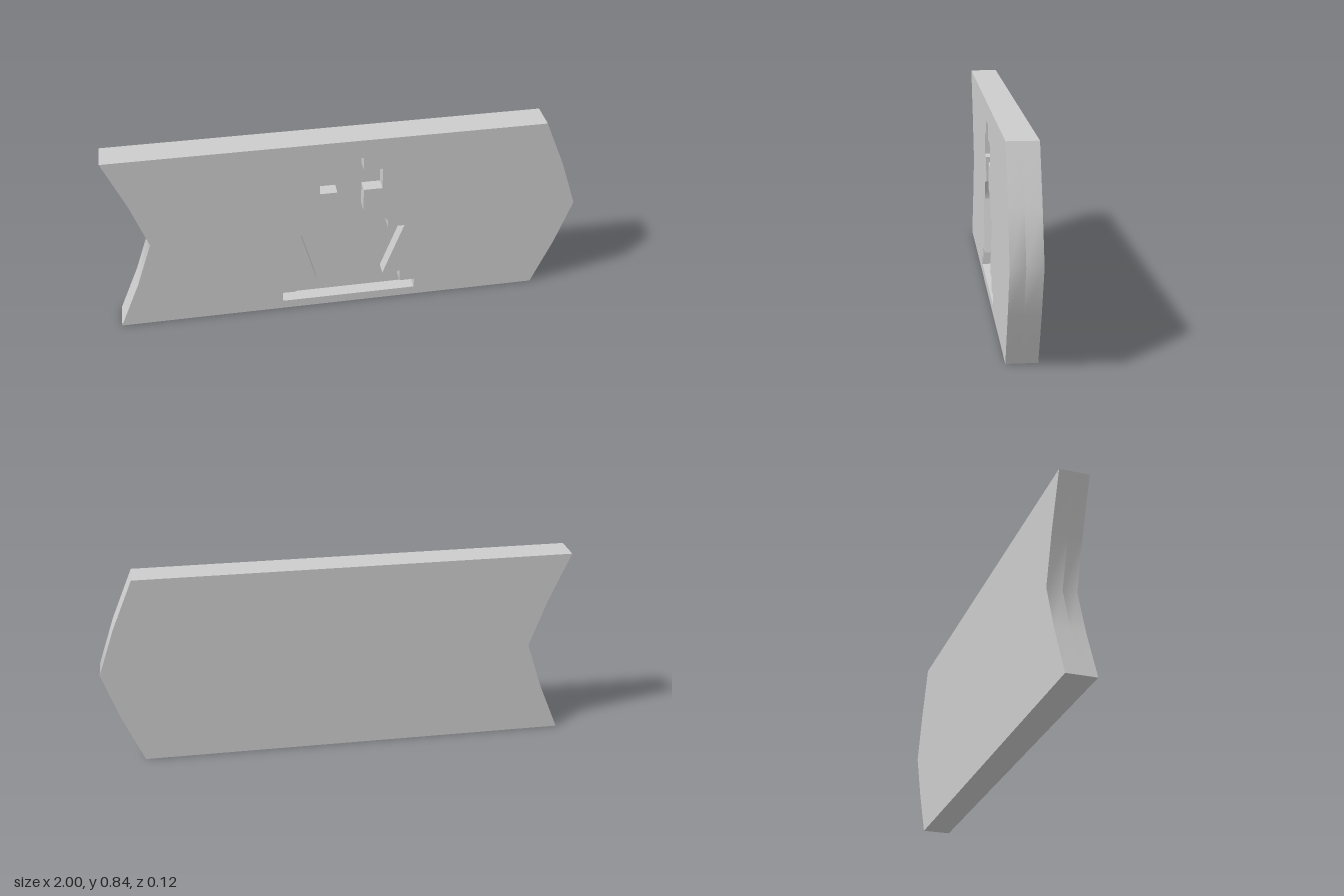
import * as THREE from 'three';
import { toCreasedNormals } from 'three/addons/utils/BufferGeometryUtils.js';

const HEIGHT = 0.84;
const HALF_DEPTH = 0.0615;
const RECESS_FLOOR = 0.003;

const toPoints = (list) => list.map(([x, y]) => new THREE.Vector2(x, y));

// Banner outline: bowed right end, matching notch on the left
function bannerOutline() {
  const right = [[0.84, 0], [0.93, 0.215], [1, HEIGHT / 2], [0.93, HEIGHT - 0.215], [0.84, HEIGHT]];
  const left = right.map(([x, y]) => [x - 1.84, y]).reverse();
  return toPoints([...right, ...left]);
}

// Chess king silhouette, clockwise from the bottom left
const kingOutline = toPoints([
  [-0.292, 0.04], [-0.292, 0.085], [-0.234, 0.085], [-0.234, 0.14], [-0.14, 0.14], // stepped base
  [-0.207, 0.39], [-0.138, 0.39], [-0.135, 0.425], [-0.108, 0.47], [-0.047, 0.488], // body and shoulder
  [-0.047, 0.595], [-0.12, 0.595], [-0.12, 0.693], [-0.047, 0.693], [-0.047, 0.755], // cross
  [0.065, 0.755], [0.065, 0.693], [0.145, 0.693], [0.145, 0.595], [0.065, 0.595],
  [0.065, 0.488], [0.127, 0.473], [0.172, 0.423], [0.172, 0.39], [0.245, 0.39],
  [0.152, 0.14], [0.231, 0.14], [0.231, 0.085], [0.297, 0.085], [0.297, 0.04],
]);

function layer(name, shape, z0, z1, material) {
  const geometry = new THREE.ExtrudeGeometry(shape, { depth: z1 - z0, bevelEnabled: false });
  geometry.translate(0, 0, z0);
  const mesh = new THREE.Mesh(toCreasedNormals(geometry, 0.66), material);
  mesh.name = name;
  return mesh;
}

export function createModel() {
  const group = new THREE.Group();
  group.name = 'engravedPlate';
  const material = new THREE.MeshStandardMaterial({ color: 0xcccccc });

  // Solid back layer, whose front is the floor of the recess
  group.add(layer('backPlate', new THREE.Shape(bannerOutline()), -HALF_DEPTH, RECESS_FLOOR, material));

  // Front layer, cut through by the king
  const front = new THREE.Shape(bannerOutline());
  front.holes.push(new THREE.Path(kingOutline));
  group.add(layer('frontPlateWithKingRecess', front, RECESS_FLOOR, HALF_DEPTH, material));

  return group;
}
